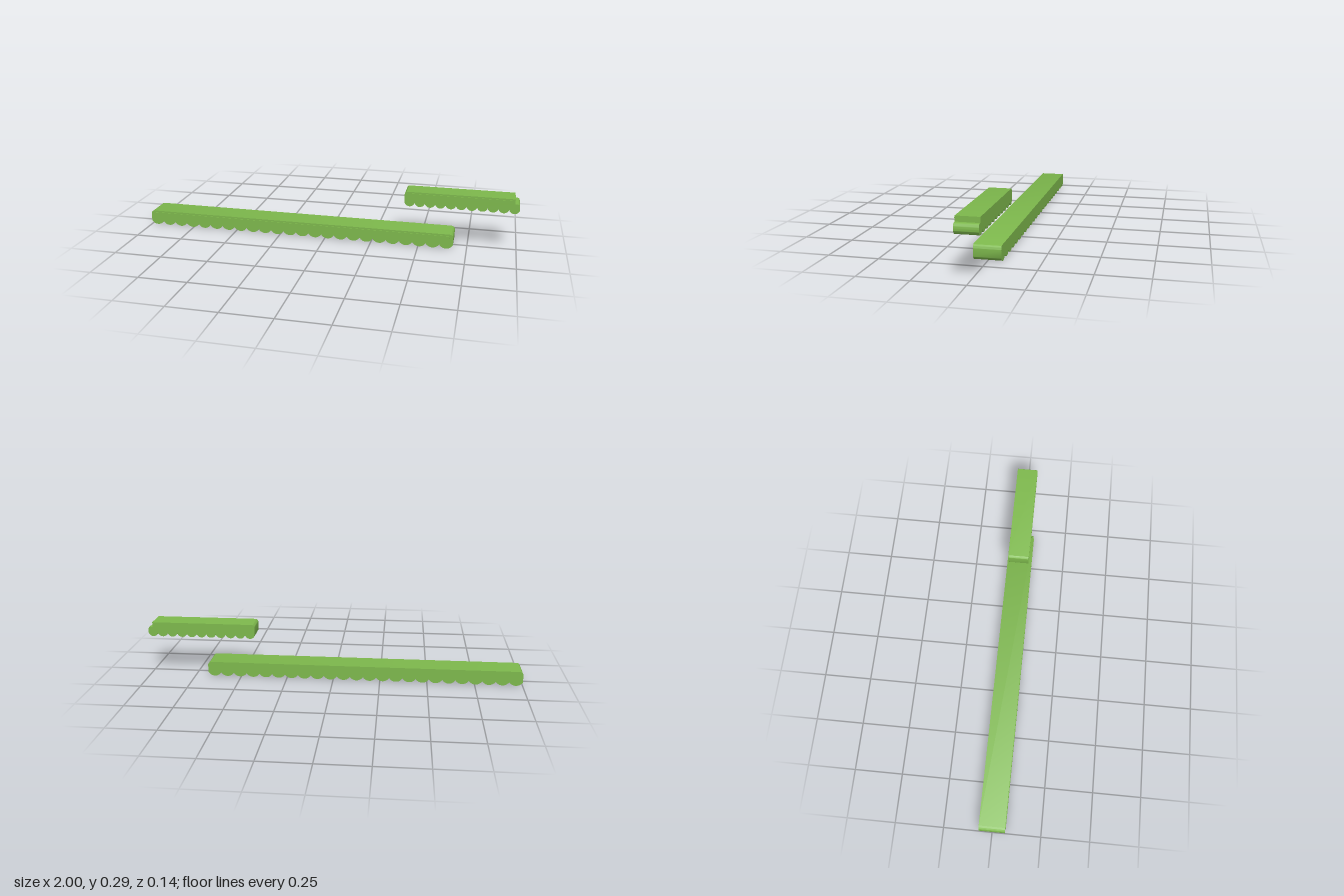
import * as THREE from 'three';
import { toCreasedNormals } from 'three/addons/utils/BufferGeometryUtils.js';

const leaf = new THREE.MeshStandardMaterial({ color: 0x7db84c });
leaf.name = 'leafGreen';

// Bar with a scalloped underside, extruded along z
function scallopedBar(name, { x0, x1, y0, y1, z0, z1, bumps, depth, corner, step }) {
  const shape = new THREE.Shape();
  const pitch = (x1 - x0) / bumps;
  const notchY = y0 + depth;
  const half = pitch / 2;
  // Circle through two notches and the lowest point of a bump
  const r = (half * half + depth * depth) / (2 * depth);
  const a = Math.asin(Math.min(1, half / r));

  // Rounded lower left end, then the row of bumps
  shape.moveTo(x0, notchY);
  for (let i = 0; i < bumps; i++) {
    const cx = x0 + (i + 0.5) * pitch;
    shape.absarc(cx, y0 + r, r, -Math.PI / 2 - a, -Math.PI / 2 + a, false);
  }
  if (step) {
    // Last bump sticks out below a shorter top
    shape.quadraticCurveTo(x1 + 0.001, step.y, step.x + 0.012, step.y);
    shape.lineTo(step.x, step.y);
    shape.lineTo(step.x, y1);
  } else {
    shape.lineTo(x1, y1 - corner);
    shape.absarc(x1 - corner, y1 - corner, corner, 0, Math.PI / 2, false);
  }
  shape.lineTo(x0 + corner, y1);
  shape.absarc(x0 + corner, y1 - corner, corner, Math.PI / 2, Math.PI, false);
  shape.closePath();

  const geo = new THREE.ExtrudeGeometry(shape, { depth: z1 - z0, bevelEnabled: false, curveSegments: 10 });
  geo.translate(0, 0, z0);
  const mesh = new THREE.Mesh(toCreasedNormals(geo, 0.6), leaf);
  mesh.name = name;
  return mesh;
}

// Thin raised rib along the front face
function rib(name, x0, x1, y0, y1, zFace, out) {
  const mesh = new THREE.Mesh(new THREE.BoxGeometry(x1 - x0, y1 - y0, out), leaf);
  mesh.position.set((x0 + x1) / 2, (y0 + y1) / 2, zFace + out / 2);
  mesh.name = name;
  return mesh;
}

export function createModel() {
  const model = new THREE.Group();
  model.name = 'grassLedges';

  // Long lower ledge
  const long = new THREE.Group();
  long.name = 'longLedge';
  long.add(
    scallopedBar('longBody', {
      x0: -1, x1: 0.68, y0: 0, y1: 0.079, z0: -0.068, z1: 0.066,
      bumps: 24, depth: 0.02, corner: 0.02,
    }),
    rib('longRib', -0.98, 0.66, 0.054, 0.07, 0.066, 0.003),
  );

  // Short upper ledge with a stepped right end
  const short = new THREE.Group();
  short.name = 'shortLedge';
  short.add(
    scallopedBar('shortBody', {
      x0: 0.42, x1: 1, y0: 0.213, y1: 0.291, z0: -0.056, z1: 0.054,
      bumps: 11, depth: 0.02, corner: 0.015, step: { x: 0.975, y: 0.265 },
    }),
    rib('shortRib', 0.435, 0.97, 0.267, 0.283, 0.054, 0.003),
  );

  model.add(long, short);
  return model;
}
